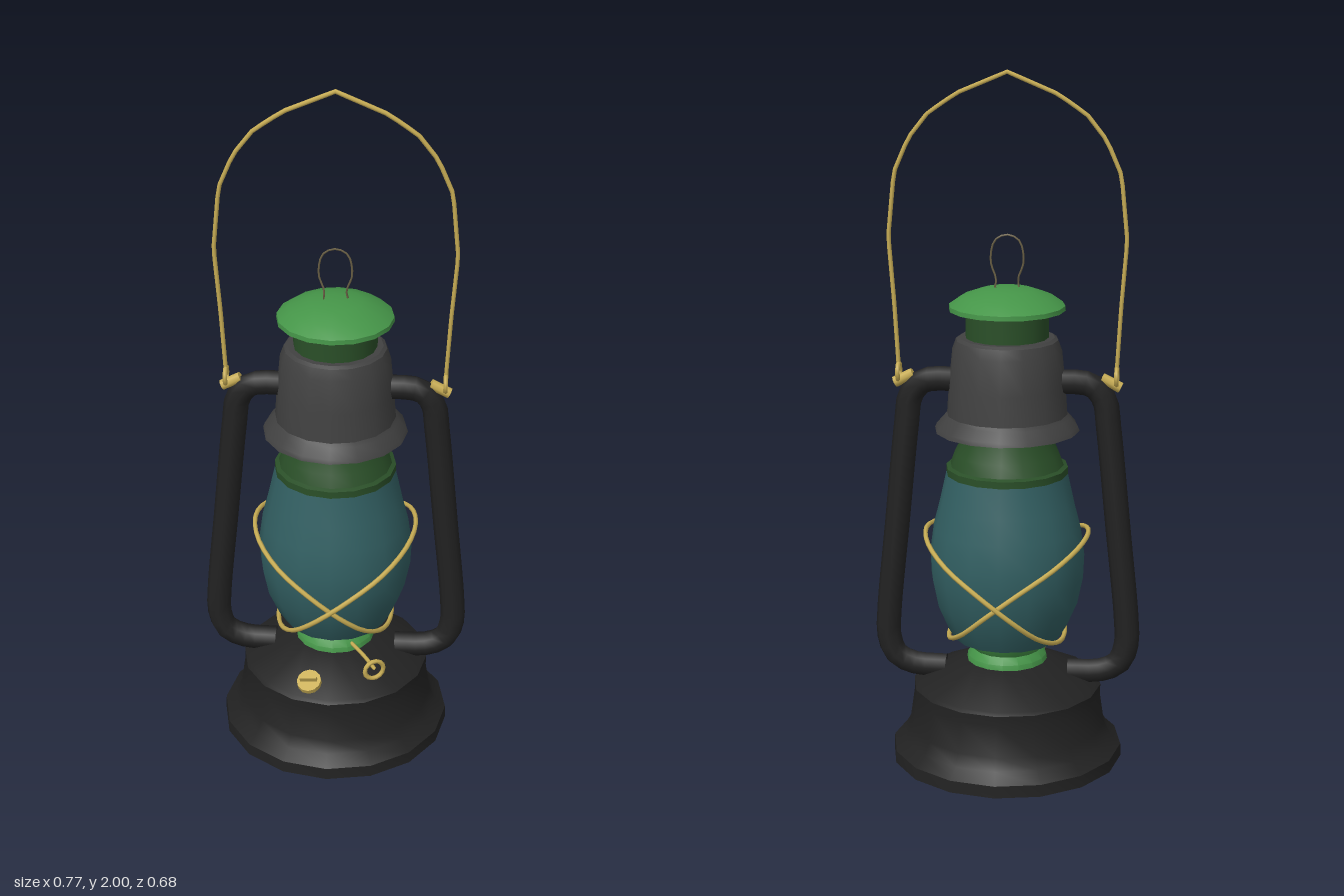
import * as THREE from 'three';
import { toCreasedNormals } from 'three/addons/utils/BufferGeometryUtils.js';

const mat = (color) => new THREE.MeshStandardMaterial({ color, side: THREE.DoubleSide });
const V = (x, y, z = 0) => new THREE.Vector3(x, y, z);

export function createModel() {
  const model = new THREE.Group();
  const black = mat(0x222222), grey = mat(0x414141), green = mat(0x459548);
  const darkGreen = mat(0x2a4f28), glassMat = mat(0x325f62), brass = mat(0xc9ae55), wireMat = mat(0x6b6146);

  const add = (name, geo, material, parent = model) => {
    const mesh = new THREE.Mesh(geo, material);
    mesh.name = name;
    parent.add(mesh);
    return mesh;
  };
  // Turned part from [radius, height] pairs, bottom to top
  const turned = (name, profile, material) => {
    const pts = profile.map(([r, y]) => new THREE.Vector2(r, y));
    return add(name, toCreasedNormals(new THREE.LatheGeometry(pts, 16), 0.55), material);
  };
  // Round bar following a curve through the points
  const bar = (name, pts, r, segs, sides, material, closed = false, parent = model) =>
    add(name, new THREE.TubeGeometry(new THREE.CatmullRomCurve3(pts, closed), segs, r, sides, closed), material, parent);

  // Fuel tank
  turned('tank', [[0, 0], [0.338, 0], [0.336, 0.035], [0.305, 0.065], [0.287, 0.1], [0.274, 0.19],
    [0.275, 0.22], [0.265, 0.228], [0.12, 0.295], [0, 0.295]], black);

  // Burner and glass globe
  turned('burner', [[0.118, 0.29], [0.115, 0.31], [0.1, 0.33], [0.12, 0.358], [0.125, 0.37], [0, 0.37]], green);
  turned('globe', [[0, 0.366], [0.155, 0.366], [0.175, 0.4], [0.205, 0.47], [0.221, 0.55], [0.224, 0.62],
    [0.213, 0.7], [0.195, 0.77], [0.175, 0.86]], glassMat);
  turned('globeCollar', [[0.168, 0.845], [0.175, 0.85], [0.175, 0.88], [0.163, 0.885], [0.15, 0.92],
    [0.12, 0.98], [0.118, 1.0]], darkGreen);

  // Hood, chimney and cap
  turned('chimney', [[0.118, 0.98], [0.118, 1.345]], darkGreen);
  turned('hood', [[0.207, 0.988], [0.202, 1.0], [0.18, 1.025], [0.172, 1.035], [0.166, 1.12],
    [0.156, 1.22], [0.145, 1.25], [0.135, 1.257], [0.116, 1.257]], grey);
  turned('cap', [[0.115, 1.335], [0.165, 1.335], [0.164, 1.348], [0.13, 1.372], [0.075, 1.392],
    [0.03, 1.398], [0, 1.398]], green);
  bar('capLoop', [V(-0.032, 1.395, 0.006), V(-0.03, 1.42, 0.004), V(-0.046, 1.47), V(-0.034, 1.53), V(0, 1.546),
    V(0.034, 1.53), V(0.046, 1.47), V(0.03, 1.42, -0.004), V(0.032, 1.395, -0.006)], 0.003, 24, 5, wireMat, true);

  // Side frame tubes with their handle eyelets
  for (const s of [1, -1]) {
    const side = s > 0 ? 'left' : 'right';
    bar(side + 'Frame', [V(0.13, 1.128), V(0.2, 1.13), V(0.245, 1.12), V(0.277, 1.08), V(0.289, 1.0),
      V(0.32, 0.7), V(0.348, 0.42), V(0.349, 0.35), V(0.328, 0.292), V(0.275, 0.265), V(0.18, 0.26)]
      .map((p) => p.setX(p.x * s)), 0.036, 36, 8, black);
    const eyelet = new THREE.Group();
    eyelet.name = side + 'Eyelet';
    eyelet.position.set(0.295 * s, 1.13, 0);
    model.add(eyelet);
    const ring = add('handleRing', new THREE.TorusGeometry(0.024, 0.007, 6, 12), brass, eyelet);
    ring.position.set(0.015 * s, 0.018, 0);
    ring.rotation.y = Math.PI / 2;
    const stud = add('stud', new THREE.CylinderGeometry(0.016, 0.016, 0.06, 8), brass, eyelet);
    stud.rotation.z = s * 1.1;
  }

  // Carrying handle
  const half = [[0.309, 1.15], [0.32, 1.35], [0.334, 1.535], [0.316, 1.715], [0.275, 1.81],
    [0.22, 1.88], [0.14, 1.935]];
  const handle = new THREE.CurvePath();
  const handlePts = [...half.map(([x, y]) => V(-x, y)), V(0, 1.994), ...half.reverse().map(([x, y]) => V(x, y))];
  for (let i = 1; i < handlePts.length; i++) handle.add(new THREE.LineCurve3(handlePts[i - 1], handlePts[i]));
  add('handle', new THREE.TubeGeometry(handle, 56, 0.0065, 6), brass);

  // Two crossed guard wires around the globe
  for (const s of [1, -1]) {
    const pts = [];
    for (let i = 0; i < 14; i++) {
      const t = (i / 14) * Math.PI * 2, c = Math.cos(t);
      pts.push(V(s * c * (c > 0 ? 0.235 : 0.168), 0.54 + c * (c > 0 ? 0.145 : 0.168),
        Math.sin(t) * (s > 0 ? 0.272 : 0.255)));
    }
    bar(s > 0 ? 'guardWireLeft' : 'guardWireRight', pts, 0.007, 42, 6, brass, true);
  }

  // Filler cap on the tank shoulder
  const filler = new THREE.Group();
  filler.name = 'fillerCap';
  filler.position.set(-0.06, 0.256, 0.212);
  filler.rotation.set(0.43, 0, 0.12);
  model.add(filler);
  add('fillerDisc', new THREE.CylinderGeometry(0.036, 0.036, 0.016, 12), brass, filler);
  add('fillerGrip', new THREE.BoxGeometry(0.05, 0.022, 0.008), brass, filler).position.y = 0.014;

  // Wick adjuster: stem with a ring at its end
  bar('wickStem', [V(0.055, 0.315, 0.09), V(0.095, 0.315, 0.15), V(0.13, 0.313, 0.21)], 0.006, 6, 6, brass);
  const knob = add('wickRing', new THREE.TorusGeometry(0.029, 0.007, 6, 14), brass);
  knob.position.set(0.13, 0.308, 0.21);
  knob.rotation.y = 0.45;

  return model;
}
